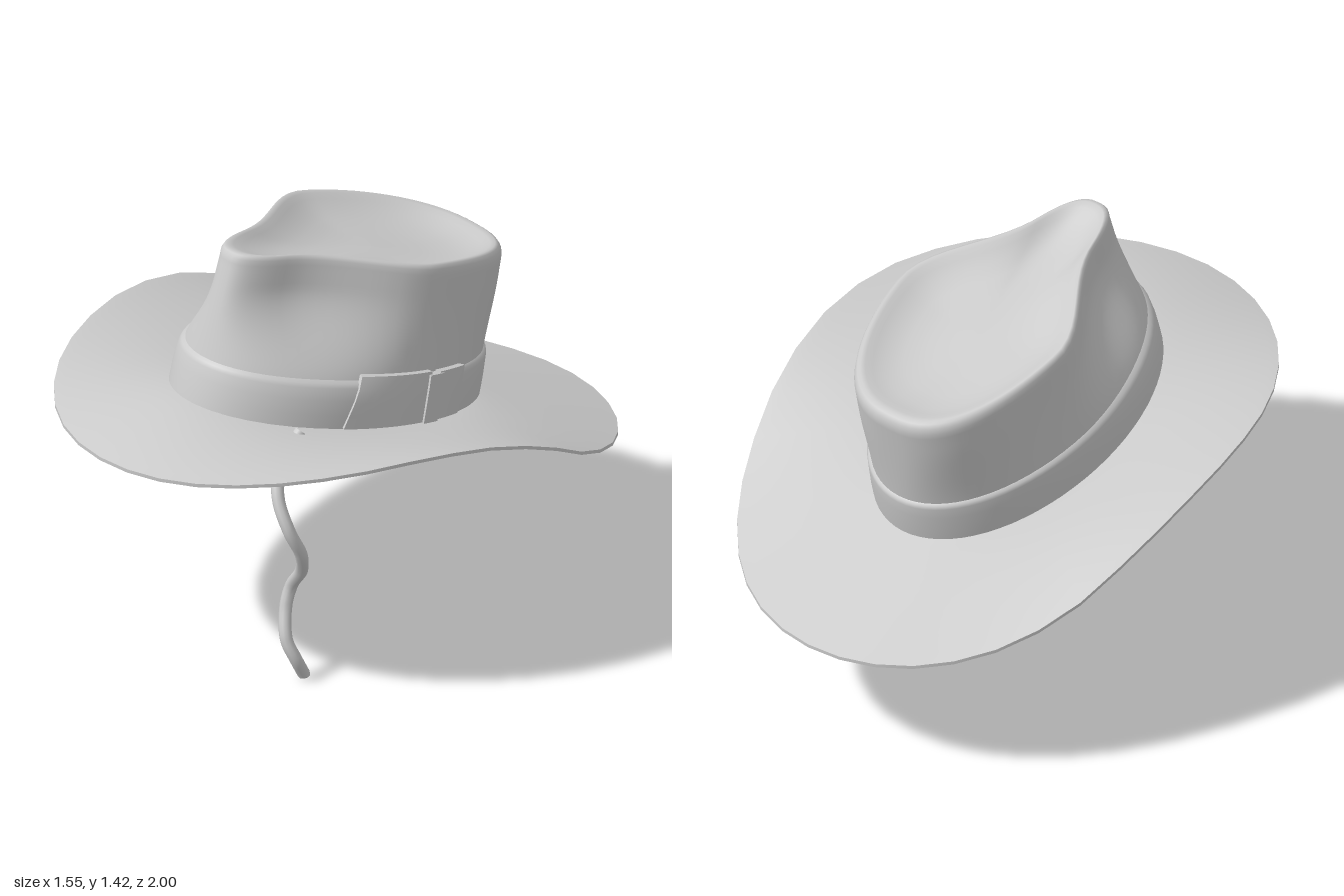
import * as THREE from 'three';
import { toCreasedNormals } from 'three/addons/utils/BufferGeometryUtils.js';

const { lerp, smoothstep } = THREE.MathUtils;
const TAU = Math.PI * 2;
const SEG = 72;

const material = new THREE.MeshStandardMaterial({ color: 0xcccccc, side: THREE.DoubleSide });

// Grid surface from a rule: fn(column, row) -> [x, y, z]; wrap joins the last column to the first
function surface(cols, rows, fn, wrap = true) {
  const pos = [], index = [];
  const n = wrap ? cols : cols + 1;
  for (let r = 0; r < rows; r++) for (let c = 0; c < n; c++) pos.push(...fn(c, r));
  for (let r = 0; r < rows - 1; r++) {
    for (let c = 0; c < cols; c++) {
      const a = r * n + c, b = r * n + (c + 1) % n;
      index.push(a, b, b + n, a, b + n, a + n);
    }
  }
  const g = new THREE.BufferGeometry();
  g.setAttribute('position', new THREE.Float32BufferAttribute(pos, 3));
  g.setIndex(index);
  g.computeVertexNormals();
  return g;
}

function part(name, geometry) {
  const mesh = new THREE.Mesh(geometry, material);
  mesh.name = name;
  return mesh;
}

// Tilted base line of the crown and the gently arched line of its top
const baseY = z => 0.77 + 0.245 * z;
const topY = z => {
  const u = (z + 0.6) / 1.06;
  return 1.15 + 0.27 * u + 0.03 * Math.sin(Math.PI * u);
};

// Teardrop outline of the crown's top: full at the back, pinched at the front
function topOutline(a) {
  const s = Math.sin(a), c = Math.cos(a);
  const x = 0.345 * Math.sign(s) * Math.abs(s) ** 0.8 * (1 - 0.55 * smoothstep(c, -0.15, 0.7));
  return [x, -0.07 + 0.535 * c];
}

// Crown wall: oval at the bottom, pressed into the teardrop towards the top
function wall(a, t, off = 0) {
  const s = Math.sin(a), c = Math.cos(a);
  const [tx, tz] = topOutline(a);
  const z0 = 0.05 + 0.565 * c;
  const x = lerp(lerp(0.365, 0.35, t) * s, tx, smoothstep(t, 0.2, 0.85));
  return [x + off * s, lerp(baseY(z0), topY(tz) - 0.035, t), lerp(z0, tz, t) + off * c];
}

function crownGeometry() {
  // Rounded rim, then the hollow of the top: [scale of outline, height offset]
  const cap = [[0.993, -0.016], [0.975, -0.004], [0.95, 0], [0.91, -0.006], [0.85, -0.02],
    [0.75, -0.041], [0.6, -0.06], [0.4, -0.07], [0.2, -0.072], [0, -0.072]];
  const wallRows = 25;
  return surface(SEG, wallRows + cap.length, (c, r) => {
    const a = c / SEG * TAU;
    if (r < wallRows) return wall(a, r / (wallRows - 1));
    const [s, dy] = cap[r - wallRows];
    const [x, z] = topOutline(a);
    const zs = lerp(-0.15, z, s);
    return [x * s, topY(zs) + dy, zs];
  });
}

// Ring around the crown from [height, offset] pairs
const ring = rows => surface(SEG, rows.length, (c, r) => wall(c / SEG * TAU, ...rows[r]));

// Brim: from the base oval to a wide ellipse, sides rolled up, back dropped
function brimGeometry() {
  const edge = new THREE.SplineCurve(
    [0.45, 0.51, 0.615, 0.755, 0.85, 0.888, 0.885, 0.868, 0.845]
      .map((y, i) => new THREE.Vector2(i, y)));
  const steps = 12, cols = 40;
  const g = surface(cols, 2 * (steps + 1), (c, r) => {
    const under = r <= steps;
    const v = (under ? r : 2 * steps + 1 - r) / steps;
    const a = c / cols * TAU, cos = Math.cos(a);
    const [x0, y0, z0] = wall(a, 0);
    const curl = lerp(1, 1.6, smoothstep(cos, -1, 0));
    const y1 = edge.getPoint((cos + 1) / 2).y;
    return [
      lerp(x0, 0.775 * Math.sin(a), v),
      lerp(y0, y1, v ** curl) + (under ? -0.006 : 0.006),
      lerp(z0, cos, v),
    ];
  });
  return toCreasedNormals(g, 0.9);
}

// Raised cloth panel lying on the band; slant leans its front edge
function panel(a0, a1, t0, t1, height, slant = 0) {
  const nu = 10, nv = 6;
  const g = surface(nu, nv + 1, (c, r) => {
    const rim = c === 0 || c === nu || r === 0 || r === nv;
    const u = THREE.MathUtils.clamp((c - 1) / (nu - 2), 0, 1);
    const v = THREE.MathUtils.clamp((r - 1) / (nv - 2), 0, 1);
    return wall(lerp(a0 + slant * v, a1, u), lerp(t0, t1, v), rim ? 0.004 : height);
  }, false);
  return toCreasedNormals(g, 0.7);
}

function bow() {
  const group = new THREE.Group();
  group.name = 'bow';
  group.add(
    part('bowFrontLoop', panel(1.18, 1.74, 0.02, 0.36, 0.024, 0.08)),
    part('bowKnot', panel(1.72, 1.83, 0.01, 0.34, 0.031)),
    part('bowBackLoop', panel(1.81, 2.04, 0.02, 0.35, 0.026)),
  );
  return group;
}

// Wavy chin cord hanging from the underside of the brim
function cord() {
  const path = new THREE.CatmullRomCurve3([
    [0.32, 0.875, 0.42], [0.312, 0.79, 0.50], [0.36, 0.69, 0.55], [0.415, 0.59, 0.55],
    [0.425, 0.50, 0.51], [0.375, 0.40, 0.465], [0.315, 0.32, 0.455], [0.31, 0.25, 0.475],
    [0.345, 0.15, 0.503], [0.372, 0.08, 0.485], [0.37, 0.014, 0.45],
  ].map(p => new THREE.Vector3(...p)));
  const group = new THREE.Group();
  group.name = 'chinCord';
  group.add(part('cordStrand', new THREE.TubeGeometry(path, 60, 0.021, 10)));
  const tip = part('cordTip', new THREE.SphereGeometry(0.021, 10, 8));
  tip.scale.set(1, 0.65, 1);
  tip.position.copy(path.getPoint(1));
  group.add(tip);
  return group;
}

export function createModel() {
  const hat = new THREE.Group();
  hat.name = 'hat';
  hat.add(
    part('crown', crownGeometry()),
    part('brim', brimGeometry()),
    part('hatBand', ring([[0, 0.012], [0.1, 0.014], [0.2, 0.014], [0.28, 0.013], [0.305, 0.009], [0.32, 0]])),
    part('sweatband', ring([[-0.02, 0.012], [-0.04, 0.004], [-0.035, -0.008], [0, -0.014], [0.15, -0.014], [0.28, -0.012], [0.3, -0.002]])),
    bow(),
    cord(),
  );
  return hat;
}
